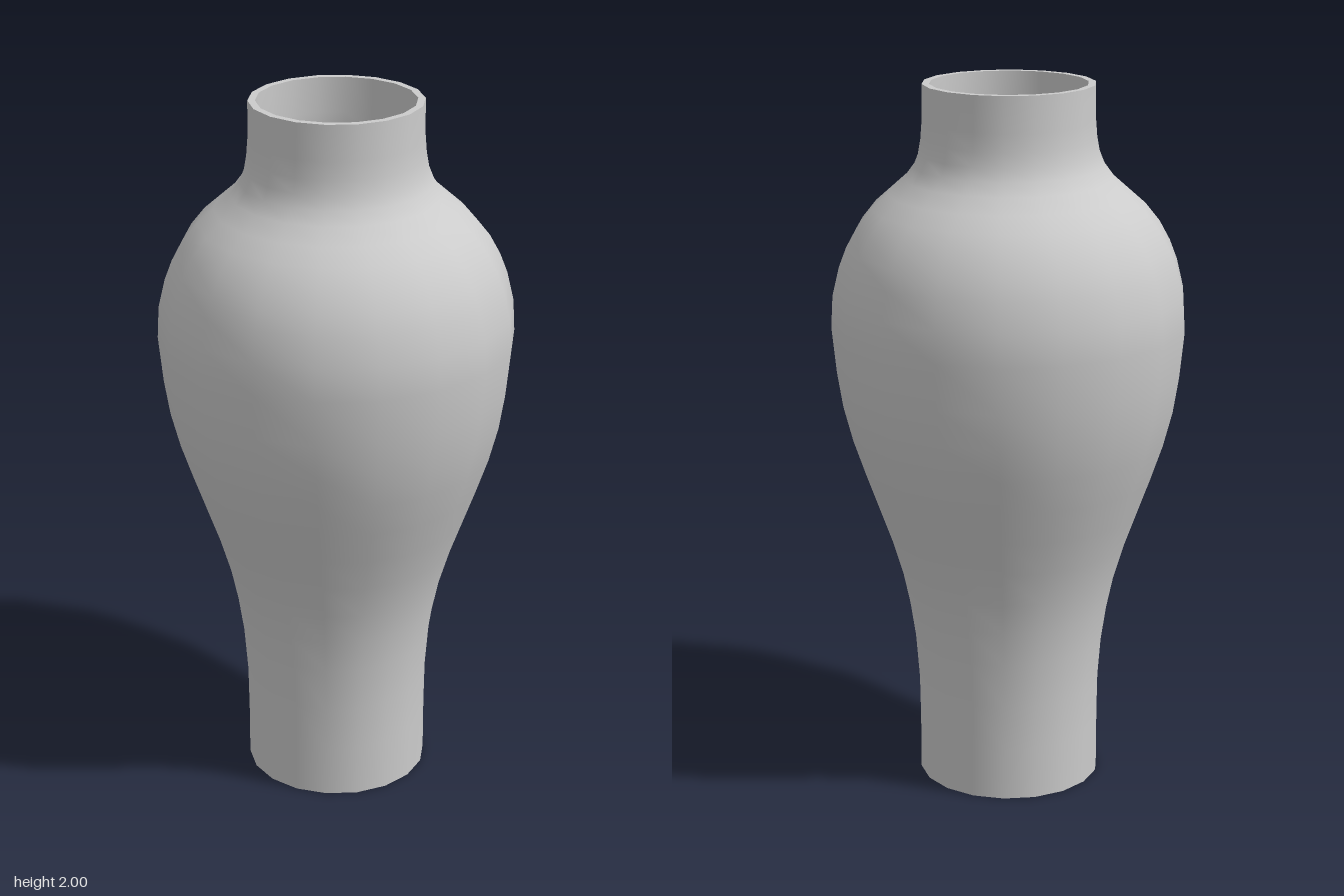
import * as THREE from 'three';

const SIDES = 18;
const WALL = 0.02;

// Outer silhouette as [radius, height], foot to lip
const PROFILE = [
  [0.258, 0], [0.258, 0.15], [0.26, 0.28], [0.27, 0.41], [0.285, 0.51], [0.304, 0.6],
  [0.334, 0.7], [0.37, 0.8], [0.406, 0.9], [0.44, 1.0], [0.466, 1.1], [0.482, 1.2],
  [0.495, 1.33], [0.49, 1.42], [0.471, 1.5], [0.45, 1.555], [0.42, 1.61], [0.38, 1.66],
  [0.335, 1.7], [0.29, 1.74], [0.264, 1.775], [0.25, 1.81], [0.243, 1.85], [0.239, 1.9], [0.238, 2],
];

export function createModel() {
  const group = new THREE.Group();
  group.name = 'vase';
  const material = new THREE.MeshStandardMaterial({ color: 0xcccccc });

  // Each band is its own lathe, so the lip and foot edges stay sharp
  const turn = (name, points) => {
    const geometry = new THREE.LatheGeometry(
      points.map(([r, y]) => new THREE.Vector2(r, y)), SIDES, Math.PI / 2);
    const mesh = new THREE.Mesh(geometry, material);
    mesh.name = name;
    group.add(mesh);
  };

  // Inner wall runs at a constant thickness inside the outer one
  const inner = PROFILE.map(([r, y]) => [r - WALL, Math.max(y, WALL)]).reverse();
  const lip = PROFILE[PROFILE.length - 1];
  const floor = inner[inner.length - 1];

  turn('outerBody', PROFILE);
  turn('rim', [lip, inner[0]]);
  turn('innerWall', inner);
  turn('innerFloor', [floor, [0, floor[1]]]);
  turn('base', [[0, 0], PROFILE[0]]);
  return group;
}
